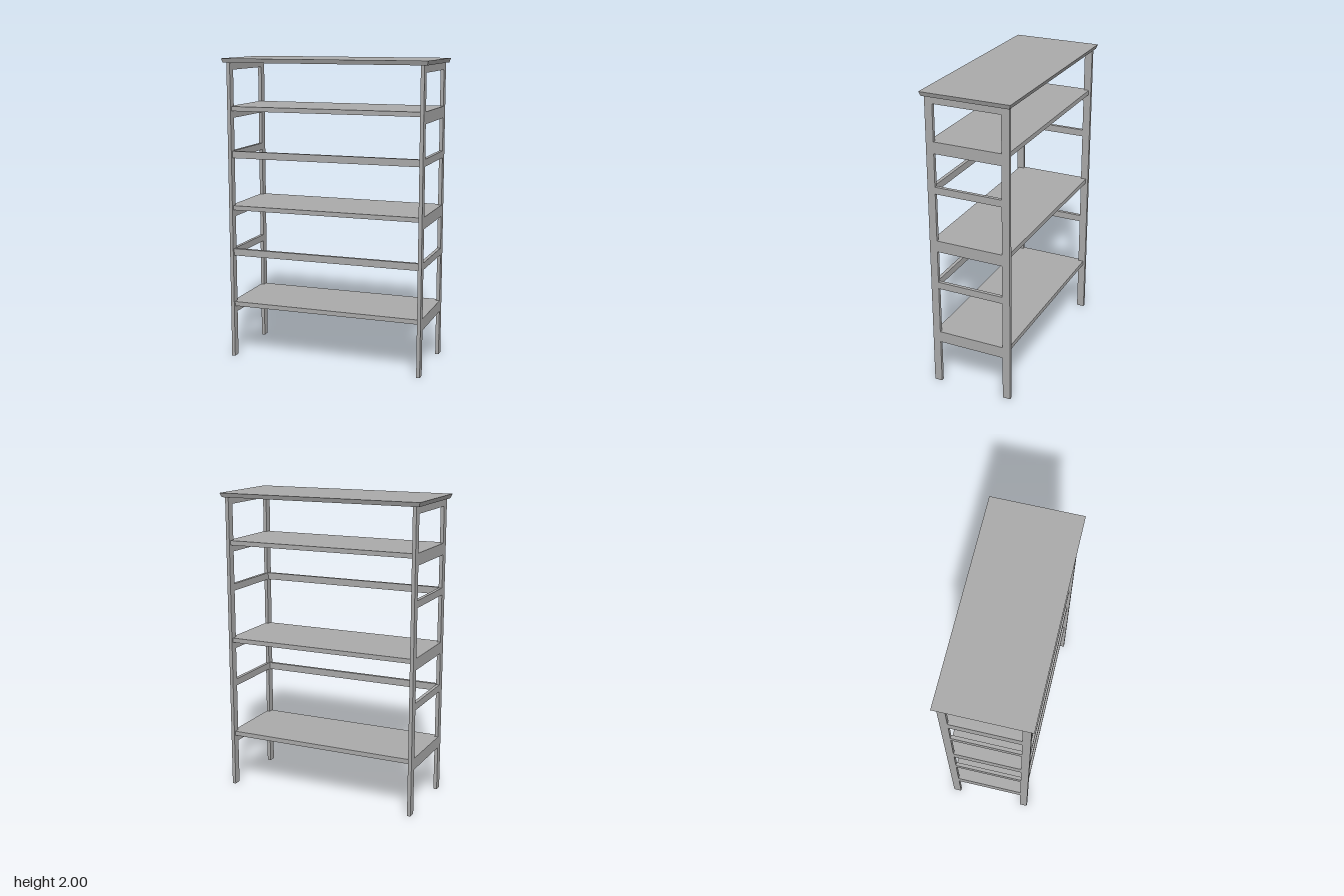
import * as THREE from 'three';

const POST_IN = 0.635, POST_OUT = 0.658;  // post faces along x
const Z_IN = 0.223, Z_OUT = 0.274;        // post faces along z
const SHELF_Z = 0.259;                    // shelves and front rails sit slightly inset
const RAIL_H = 0.046, SHELF_T = 0.03, TOP_Y = 1.972;

export function createModel() {
  const group = new THREE.Group();
  const grey = new THREE.MeshStandardMaterial({ color: 0xaaaaaa });
  grey.name = 'grey';

  const add = (name, geometry) => {
    const mesh = new THREE.Mesh(geometry, grey);
    mesh.name = name;
    group.add(mesh);
    return mesh;
  };
  // box from its lower and upper corners
  const box = (name, [x0, y0, z0], [x1, y1, z1]) =>
    add(name, new THREE.BoxGeometry(x1 - x0, y1 - y0, z1 - z0))
      .position.set((x0 + x1) / 2, (y0 + y1) / 2, (z0 + z1) / 2);

  // top board, tapering inwards towards its underside
  const top = new THREE.BoxGeometry(1.374, 2 - TOP_Y, 0.588);
  const p = top.attributes.position;
  for (let i = 0; i < p.count; i++) {
    if (p.getY(i) < 0) {
      p.setX(i, p.getX(i) - Math.sign(p.getX(i)) * 0.01);
      p.setZ(i, p.getZ(i) - Math.sign(p.getZ(i)) * 0.01);
    }
  }
  top.computeVertexNormals();
  add('topBoard', top).position.y = (2 + TOP_Y) / 2;

  // posts and side rails
  const railBottoms = [0.302, 0.697, 0.959, 1.352, 1.614, TOP_Y - RAIL_H];
  for (const [side, x0, x1] of [['left', POST_IN, POST_OUT], ['right', -POST_OUT, -POST_IN]]) {
    box(side + 'FrontPost', [x0, 0, Z_IN], [x1, TOP_Y, Z_OUT]);
    box(side + 'BackPost', [x0, 0, -Z_OUT], [x1, TOP_Y, -Z_IN]);
    for (const y of railBottoms) box(side + 'SideRail', [x0, y, -Z_IN], [x1, y + RAIL_H, Z_IN]);
  }

  // front rails between the shelves
  for (const y of [0.697, 1.352])
    box('frontRail', [-POST_IN, y, SHELF_Z - 0.023], [POST_IN, y + RAIL_H, SHELF_Z]);

  // shelves, notched at the corners around the posts
  const outline = new THREE.Shape([
    [POST_IN, -SHELF_Z], [POST_IN, -Z_IN], [POST_OUT, -Z_IN], [POST_OUT, Z_IN],
    [POST_IN, Z_IN], [POST_IN, SHELF_Z], [-POST_IN, SHELF_Z], [-POST_IN, Z_IN],
    [-POST_OUT, Z_IN], [-POST_OUT, -Z_IN], [-POST_IN, -Z_IN], [-POST_IN, -SHELF_Z],
  ].map(([x, z]) => new THREE.Vector2(x, z)));
  const shelf = new THREE.ExtrudeGeometry(outline, { depth: SHELF_T, bevelEnabled: false });
  shelf.rotateX(-Math.PI / 2);
  for (const y of [0.302, 0.959, 1.614]) add('shelf', shelf).position.y = y + RAIL_H;

  return group;
}
